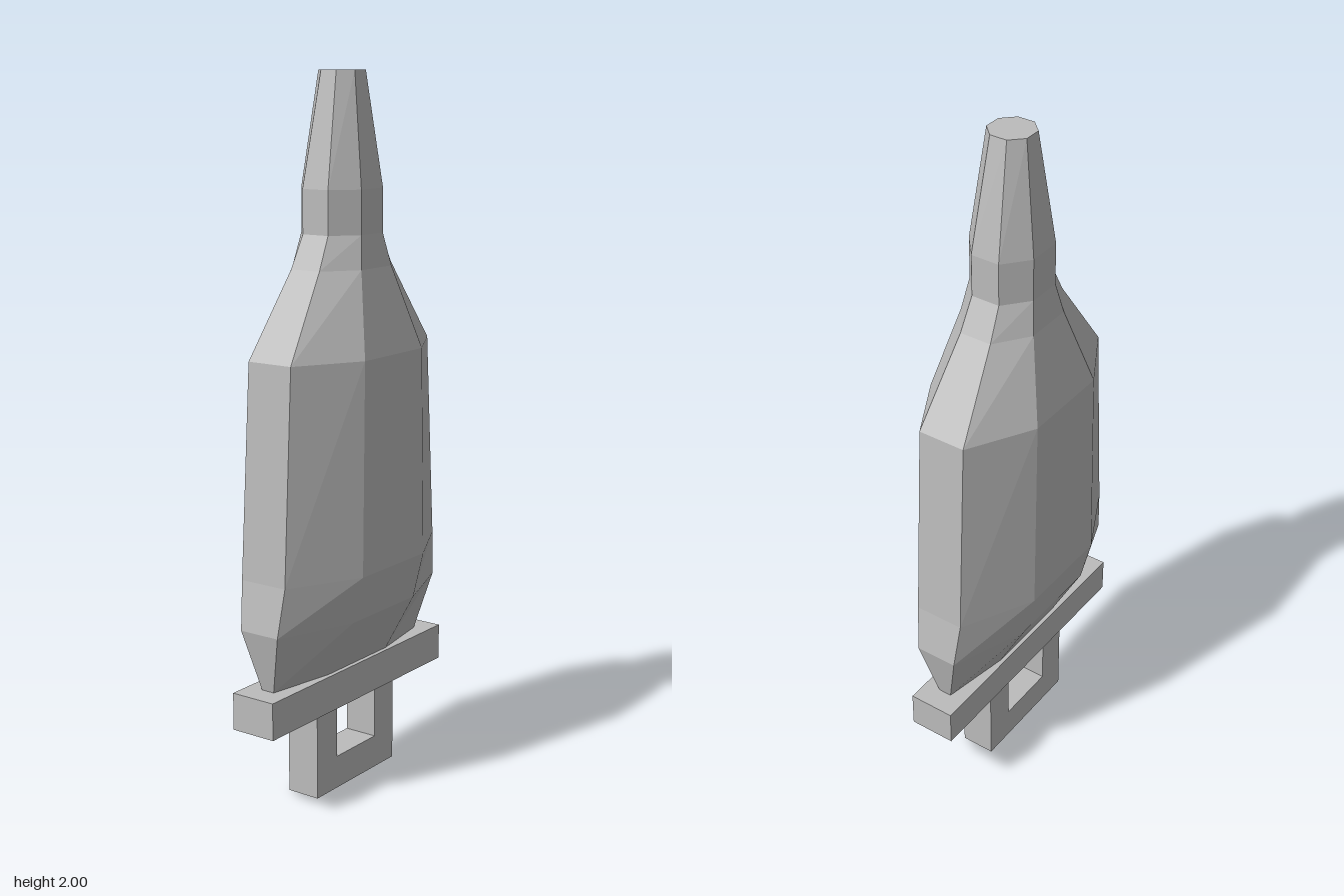
import * as THREE from 'three';

const grey = new THREE.MeshStandardMaterial({ color: 0xbcbcbc, flatShading: true });
grey.name = 'plain grey';

// Octagonal sections, bottom to top: [y, half width, half depth, front flat half width, side flat half depth]
const SECTIONS = [
  [0.355, 0.34, 0.055, 0.14, 0.02],
  [0.525, 0.375, 0.145, 0.147, 0.062],
  [0.66, 0.355, 0.178, 0.147, 0.073],
  [1.25, 0.32, 0.174, 0.135, 0.07],
  [1.48, 0.165, 0.115, 0.07, 0.047],
  [1.57, 0.12, 0.1, 0.05, 0.042],
  [1.69, 0.12, 0.1, 0.05, 0.042],
  [2.0, 0.06, 0.06, 0.025, 0.025],
];

// Lofts the octagons into a closed solid
function loft(sections) {
  const positions = [], index = [], n = 8;
  for (const [y, w, d, a, b] of sections) {
    const ring = [[w, b], [a, d], [-a, d], [-w, b], [-w, -b], [-a, -d], [a, -d], [w, -b]];
    for (const [x, z] of ring) positions.push(x, y, z);
  }
  for (let s = 0; s < sections.length - 1; s++) {
    for (let i = 0; i < n; i++) {
      const p = s * n + i, q = s * n + (i + 1) % n;
      index.push(p, p + n, q, q, p + n, q + n);
    }
  }
  // End caps
  const top = (sections.length - 1) * n;
  for (let i = 1; i < n - 1; i++) {
    index.push(0, i, i + 1);
    index.push(top, top + i + 1, top + i);
  }
  const geometry = new THREE.BufferGeometry();
  geometry.setAttribute('position', new THREE.Float32BufferAttribute(positions, 3));
  geometry.setIndex(index);
  const flat = geometry.toNonIndexed();
  flat.computeVertexNormals();
  return flat;
}

function box(name, w, h, d, x, y) {
  const mesh = new THREE.Mesh(new THREE.BoxGeometry(w, h, d), grey);
  mesh.name = name;
  mesh.position.set(x, y, 0);
  return mesh;
}

export function createModel() {
  const model = new THREE.Group();
  model.name = 'model';

  // Tapered faceted body and neck
  const body = new THREE.Mesh(loft(SECTIONS), grey);
  body.name = 'body';
  model.add(body);

  // Crossbar under the body
  model.add(box('crossbar', 0.81, 0.105, 0.136, 0, 0.3025));

  // Square U-shaped handle
  const outline = new THREE.Shape([
    [-0.185, 0], [0.185, 0], [0.185, 0.25], [0.093, 0.25],
    [0.093, 0.095], [-0.093, 0.095], [-0.093, 0.25], [-0.185, 0.25],
  ].map(([x, y]) => new THREE.Vector2(x, y)));
  const handleGeometry = new THREE.ExtrudeGeometry(outline, { depth: 0.1, bevelEnabled: false });
  handleGeometry.translate(0, 0, -0.05);
  const handle = new THREE.Mesh(handleGeometry, grey);
  handle.name = 'handle';
  model.add(handle);

  return model;
}
